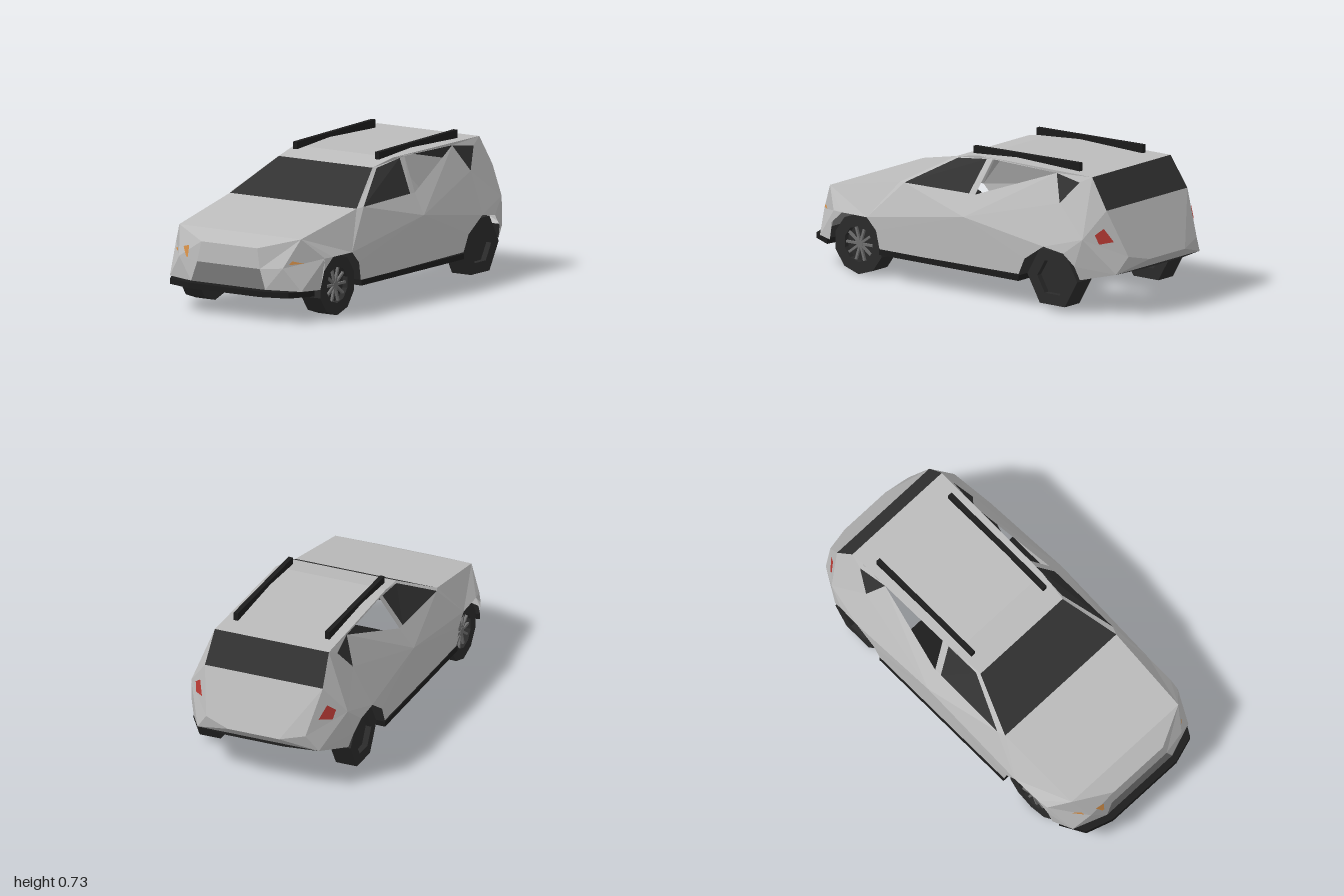
import * as THREE from 'three';

const mat = (name, color, side = THREE.FrontSide) =>
  Object.assign(new THREE.MeshStandardMaterial({ color, side, flatShading: true }), { name });

export function createModel() {
  const car = new THREE.Group();
  car.name = 'car';
  const D = THREE.DoubleSide;
  const paint = mat('silver paint', 0xbcbcbc, D);
  const grey = mat('grille grey', 0x787878, D);
  const glass = mat('dark glass', 0x323232, D);
  const trim = mat('black trim', 0x1c1c1c, D);
  const rubber = mat('tyre rubber', 0x2b2b2b, D);
  const rim = mat('rim grey', 0x707070);
  const amber = mat('amber lamp', 0xd8924a, D);
  const red = mat('red lamp', 0xb83a34, D);

  const flip = ([x, y, z]) => [-x, y, z];

  // One mesh from several flat polygons, each cut into a fan
  function panels(name, material, polys) {
    const pos = [];
    for (const p of polys)
      for (let i = 1; i < p.length - 1; i++) pos.push(...p[0], ...p[i], ...p[i + 1]);
    const g = new THREE.BufferGeometry();
    g.setAttribute('position', new THREE.Float32BufferAttribute(pos, 3));
    g.computeVertexNormals();
    const m = new THREE.Mesh(g, material);
    m.name = name;
    car.add(m);
  }
  // The same polygons on both sides of the car
  const both = (name, material, polys) =>
    panels(name, material, [...polys, ...polys.map(p => p.map(flip).reverse())]);
  // A polygon spanning the car between a left edge and its mirror image
  const across = (a, b) => [a, b, flip(b), flip(a)];

  // Key points of the left half
  const hoodBack = [0.385, 0.5, 0.4], hoodFront = [0.37, 0.412, 0.86];
  const nose = [0.17, 0.36, 0.955], grilleTop = [0.19, 0.258, 0.962], grilleLow = [0.225, 0.157, 0.965];
  const cheek = [0.315, 0.27, 0.94], cornerLow = [0.4, 0.155, 0.9], corner = [0.452, 0.31, 0.77];
  const fa = [[0.445, 0.155, 0.8], [0.455, 0.25, 0.78], [0.46, 0.31, 0.71],
    [0.463, 0.31, 0.55], [0.463, 0.25, 0.49], [0.46, 0.155, 0.47]];
  const ra = [[0.46, 0.165, -0.42], [0.463, 0.25, -0.46], [0.463, 0.33, -0.58],
    [0.455, 0.31, -0.7], [0.44, 0.25, -0.76], [0.42, 0.18, -0.78]];
  const flank = [0.465, 0.405, -0.07];
  const belt = [[0.4, 0.505, 0.36], [0.395, 0.51, -0.05], [0.395, 0.51, -0.09]];
  const top = [[0.296, 0.652, 0.1], [0.303, 0.675, -0.09], [0.304, 0.68, -0.13], [0.306, 0.672, -0.54]];
  const quarterBack = [0.325, 0.65, -0.7], quarterLow = [0.37, 0.54, -0.61];
  const roofFront = [0.285, 0.655, 0.12], roofMid = [0.3, 0.685, -0.04], roofBack = [0.31, 0.685, -0.77];
  const rearGlassLow = [0.32, 0.53, -0.87], hip = [0.425, 0.39, -0.8];
  const tail = [0.27, 0.3, -0.97], tailMid = [0.14, 0.27, -1], tailLow = [0.33, 0.215, -0.94];

  // Bonnet, nose and roof
  panels('bonnet', paint, [across(hoodBack, hoodFront), across(hoodFront, nose)]);
  panels('noseCentre', paint, [across(nose, grilleTop)]);
  panels('grille', grey, [across(grilleTop, grilleLow)]);
  panels('roof', paint, [across(roofFront, roofMid), across(roofMid, roofBack)]);
  both('frontCorners', paint, [
    [hoodFront, nose, grilleTop, cheek], [cheek, grilleTop, grilleLow], [cheek, grilleLow, cornerLow],
    [hoodFront, cheek, corner], [cheek, cornerLow, corner], [corner, cornerLow, fa[0], fa[1]],
  ]);

  // Wings, doors and rear quarters
  both('frontWings', paint, [
    [corner, fa[1], fa[2]], [hoodFront, corner, fa[2]], [hoodFront, fa[2], fa[3]],
    [hoodBack, hoodFront, fa[3]], [hoodBack, fa[3], belt[0]],
  ]);
  both('doors', paint, [
    [flank, belt[0], fa[3]], [flank, fa[3], fa[4]], [flank, fa[4], fa[5]], [flank, fa[5], ra[0]],
    [flank, ra[0], ra[1]], [flank, ra[1], ra[2]], [flank, belt[2], belt[1], belt[0]],
    [flank, top[3], belt[2]], [flank, quarterLow, top[3]], [flank, ra[2], quarterLow],
  ]);
  both('rearQuarters', paint, [
    [quarterLow, ra[2], hip], [hip, ra[2], ra[3]], [hip, ra[3], ra[4]],
    [quarterBack, quarterLow, hip], [quarterBack, hip, roofBack], [roofBack, hip, rearGlassLow],
    [rearGlassLow, hip, tail], [hip, ra[4], tailLow], [hip, tailLow, tail], [ra[4], ra[5], tailLow],
  ]);
  both('pillars', paint, [
    [hoodBack, belt[0], top[0], roofFront], [roofFront, top[0], top[1], roofMid],
    [belt[1], belt[2], top[2], top[1]], [roofMid, top[1], top[2]],
    [roofMid, top[2], top[3], roofBack], [roofBack, top[3], quarterBack],
  ]);

  // Tailgate
  both('tailgateSides', paint, [[rearGlassLow, tail, tailMid], [tail, tailLow, tailMid]]);
  panels('tailgate', paint, [across(rearGlassLow, tailMid), across(tailMid, tailLow)]);

  // Glass; the rear door openings stay open
  panels('windscreen', glass, [across(hoodBack, roofFront)]);
  panels('rearWindow', glass, [across(roofBack, rearGlassLow)]);
  both('frontSideWindows', glass, [[belt[0], belt[1], top[1], top[0]]]);
  both('quarterWindows', glass, [[top[3], quarterLow, quarterBack]]);

  // Lamps
  both('cornerMarkers', amber, [[[0.347, 0.305, 0.905], [0.338, 0.287, 0.92], [0.388, 0.291, 0.862]]]);
  panels('noseMarker', amber, [[[-0.285, 0.323, 0.945], [-0.242, 0.335, 0.957],
    [-0.245, 0.275, 0.965], [-0.257, 0.275, 0.963]]]);
  // Each tail lamp is laid on the plane of its corner facet
  const v = p => new THREE.Vector3(...p);
  const [o, e1, e2] = [v(rearGlassLow), v(hip).sub(v(rearGlassLow)), v(tail).sub(v(rearGlassLow))];
  const out = e1.clone().cross(e2).normalize();
  if (out.x < 0) out.negate();
  const onFacet = (a, b) => o.clone().addScaledVector(e1, a).addScaledVector(e2, b)
    .addScaledVector(out, 0.005).toArray();
  both('tailLamps', red, [[onFacet(0.3, 0.2), onFacet(0.62, 0.14), onFacet(0.62, 0.34), onFacet(0.2, 0.55)]]);

  // Flat plates with a left-half outline of [x, z] points
  function plate(name, y, height, half) {
    const outline = [...half, ...half.map(([x, z]) => [-x, z]).reverse()];
    const g = new THREE.ExtrudeGeometry(new THREE.Shape(outline.map(([x, z]) => new THREE.Vector2(x, -z))),
      { depth: height, bevelEnabled: false });
    g.rotateX(-Math.PI / 2);
    const m = new THREE.Mesh(g, trim);
    m.name = name;
    m.position.y = y;
    car.add(m);
  }
  plate('frontLip', 0.125, 0.028, [[0.22, 1], [0.36, 0.955], [0.43, 0.83], [0.36, 0.82]]);
  plate('floor', 0.13, 0.028, [[0.465, 0.47], [0.462, -0.42]]);
  panels('rearUnderpan', trim, [across(ra[5], tailLow), across(tailLow, [0.15, 0.22, -0.975])]);

  // Roof rails
  const railShape = new THREE.Shape([[0.03, 0.68], [0.03, 0.717], [-0.65, 0.73], [-0.65, 0.688], [-0.25, 0.7]]
    .map(([z, y]) => new THREE.Vector2(-z, y)));
  for (const s of [1, -1]) {
    const g = new THREE.ExtrudeGeometry(railShape, { depth: 0.024, bevelEnabled: false });
    g.rotateY(Math.PI / 2);
    const rail = new THREE.Mesh(g, trim);
    rail.name = s > 0 ? 'leftRoofRail' : 'rightRoofRail';
    rail.position.x = s * 0.249 - 0.012;
    car.add(rail);
  }

  // Wheels: an open polygonal tyre, a backing disc and, in front, a spoked rim
  const ring = (r, sides, start) => Array.from({ length: sides }, (_, i) => {
    const a = start + (i / sides) * Math.PI * 2;
    return new THREE.Vector2(Math.cos(a) * r, Math.sin(a) * r);
  });
  function wheel(name, side, y, z, r, sides, spokes) {
    const w = new THREE.Group();
    w.name = name;
    const add = (part, g, m) => {
      const mesh = new THREE.Mesh(g, m);
      mesh.name = part;
      w.add(mesh);
      return mesh;
    };
    const start = sides === 6 ? 0 : Math.PI / 2;
    const shape = new THREE.Shape(ring(r, sides, start));
    shape.holes.push(new THREE.Path(ring(r * 0.6, sides, start).reverse()));
    add('tyre', new THREE.ExtrudeGeometry(shape, { depth: 0.115, bevelEnabled: false }), rubber);
    const disc = add('backing', new THREE.ShapeGeometry(new THREE.Shape(ring(r * 0.62, sides, start))), rubber);
    disc.position.z = 0.085;
    if (spokes) {
      const hub = add('hub', new THREE.CylinderGeometry(0.02, 0.02, 0.016, 8).rotateX(Math.PI / 2), rim);
      hub.position.z = 0.1;
      for (let i = 0; i < spokes; i++) {
        const g = new THREE.BoxGeometry(r * 0.56, 0.012, 0.012).translate(r * 0.32, 0, 0.1);
        add('spoke', g.rotateZ((i / spokes) * Math.PI * 2), rim);
      }
    }
    w.rotation.y = side * Math.PI / 2;
    w.position.set(side * 0.313, y, z);
    car.add(w);
  }
  for (const s of [1, -1]) {
    const label = s > 0 ? 'Left' : 'Right';
    wheel('front' + label + 'Wheel', s, 0.154, 0.63, 0.154, 10, 10);
    wheel('rear' + label + 'Wheel', s, 0.168, -0.61, 0.16, 6, 0);
  }
  return car;
}
